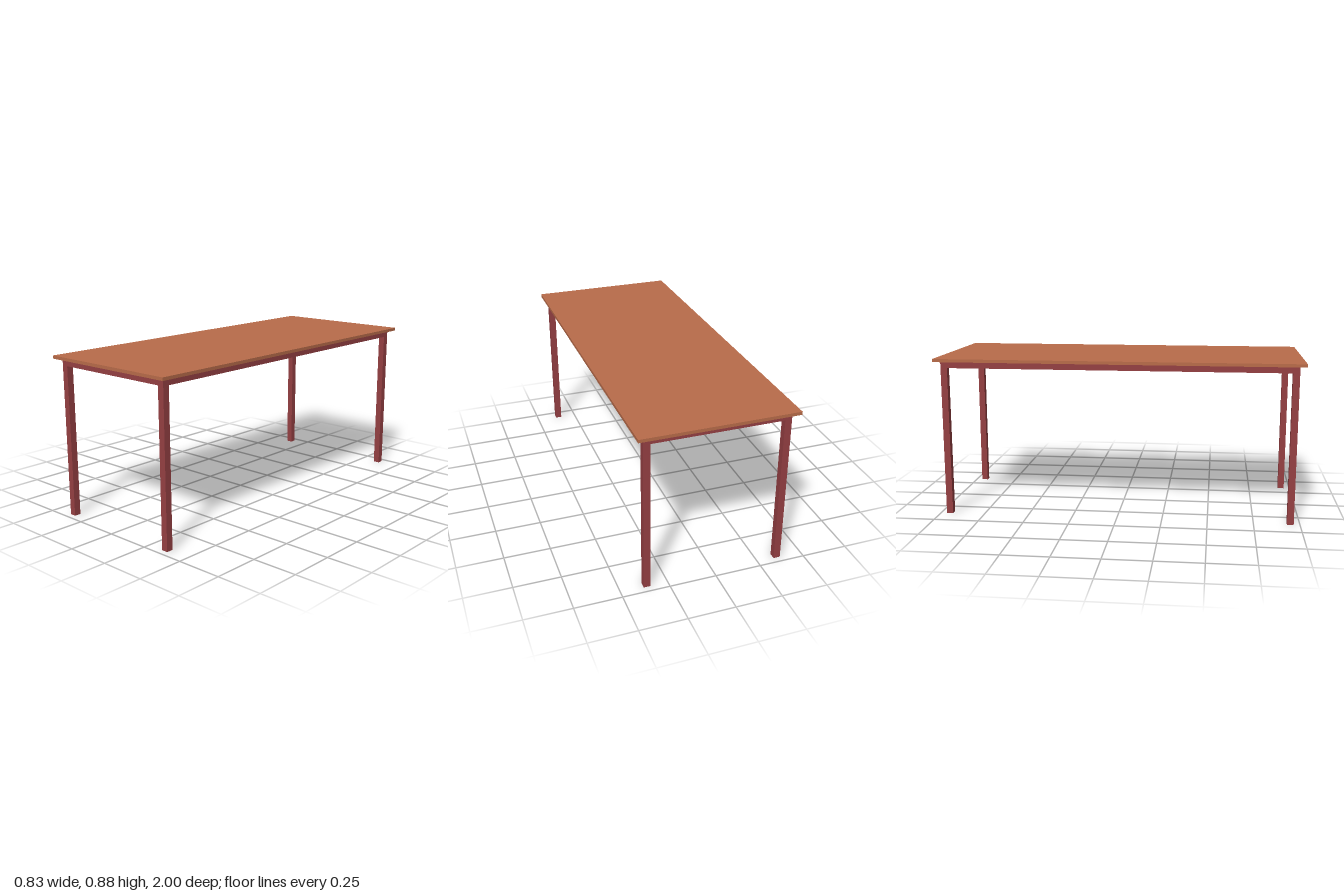
import * as THREE from 'three';

const WIDTH = 0.826, LENGTH = 2, HEIGHT = 0.879, TOP = 0.017;
const BAR = 0.036;            // square section of legs and rails
const X = 0.361, Z = 0.948;   // centre lines of the frame
const UNDER = HEIGHT - TOP;   // underside of the tabletop

export function createModel() {
  const table = new THREE.Group();
  table.name = 'table';
  const wood = new THREE.MeshStandardMaterial({ color: 0xb96c4a });
  const frame = new THREE.MeshStandardMaterial({ color: 0x964043 });

  const addBox = (name, material, [w, h, d], [x, y, z]) => {
    const mesh = new THREE.Mesh(new THREE.BoxGeometry(w, h, d), material);
    mesh.name = name;
    mesh.position.set(x, y, z);
    table.add(mesh);
  };

  addBox('tabletop', wood, [WIDTH, TOP, LENGTH], [0, HEIGHT - TOP / 2, 0]);

  // Four legs, and rails fitted between them just under the top
  const railY = UNDER - BAR / 2;
  for (const s of [-1, 1]) {
    const side = s > 0 ? 'left' : 'right', end = s > 0 ? 'front' : 'back';
    addBox(`${side}Rail`, frame, [BAR, BAR, 2 * Z - BAR], [s * X, railY, 0]);
    addBox(`${end}Rail`, frame, [2 * X - BAR, BAR, BAR], [0, railY, s * Z]);
    for (const t of [-1, 1]) {
      addBox(`${t > 0 ? 'front' : 'back'}${s > 0 ? 'Left' : 'Right'}Leg`, frame,
        [BAR, UNDER, BAR], [s * X, UNDER / 2, t * Z]);
    }
  }
  return table;
}
